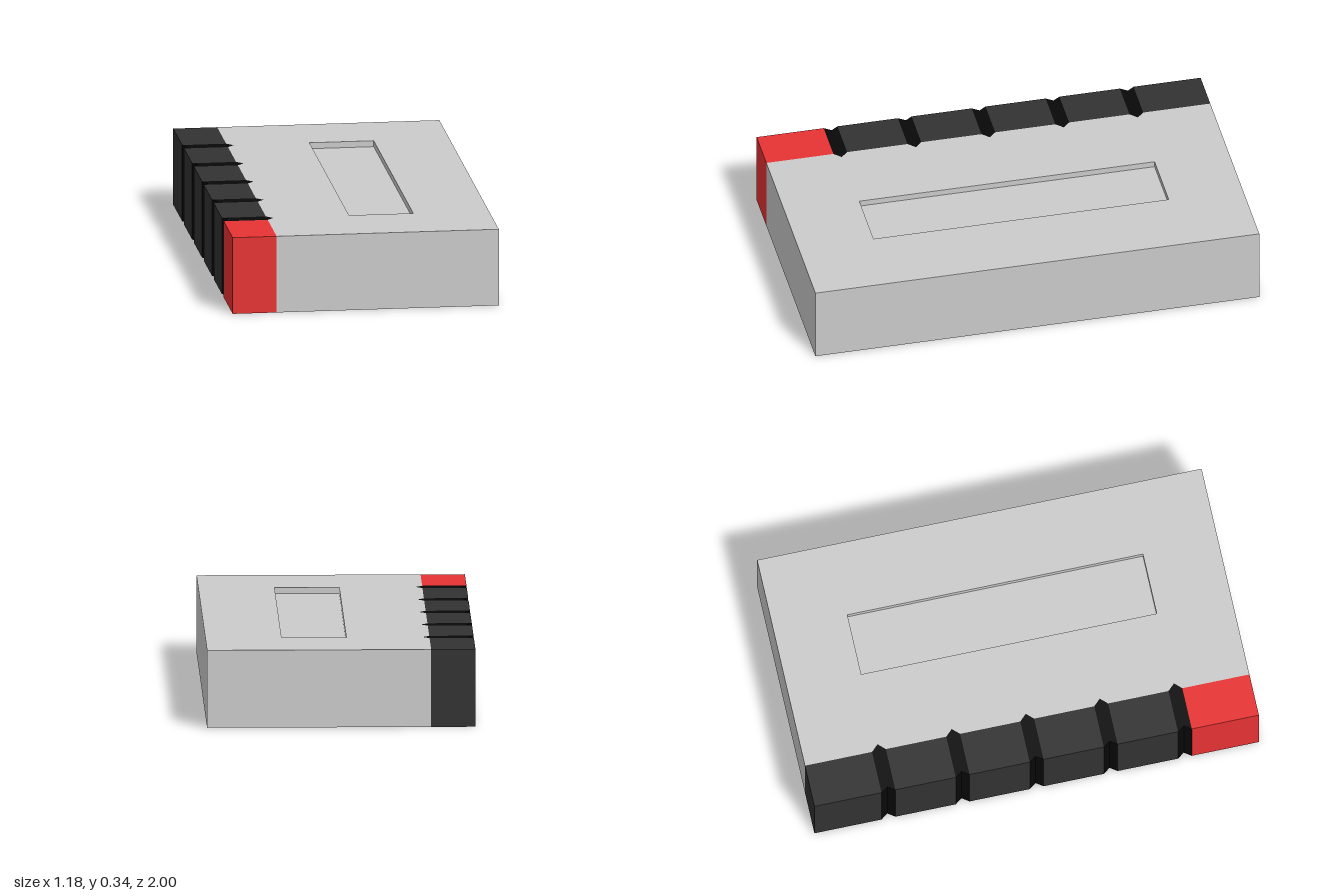
import * as THREE from 'three';

const H = 0.345, X0 = -0.59, X1 = 0.59, SEAM = -0.395;
const RECESS = 0.027, HALF = 0.031;
const GROOVES = [-0.667, -0.333, 0, 0.333, 0.667];

// Upright prism from a plan outline of [x, z] points
function prism(name, points, y0, y1, material, hole) {
  const toVec = ([x, z]) => new THREE.Vector2(x, -z);
  const shape = new THREE.Shape(points.map(toVec));
  if (hole) shape.holes.push(new THREE.Path(hole.map(toVec)));
  const geometry = new THREE.ExtrudeGeometry(shape, { depth: y1 - y0, bevelEnabled: false });
  geometry.rotateX(-Math.PI / 2).translate(0, y0, 0);
  const mesh = new THREE.Mesh(geometry, material);
  mesh.name = name;
  return mesh;
}

const rect = (x0, x1, z0, z1) => [[x0, z0], [x1, z0], [x1, z1], [x0, z1]];

export function createModel() {
  const group = new THREE.Group();
  group.name = 'cartridge';
  const paint = (color) => new THREE.MeshStandardMaterial({ color });
  const grey = paint(0xcccccc), red = paint(0xe73233);
  const dark = paint(0x323232), black = paint(0x080808);

  // Body outline with V notches along the seam
  const outline = [[X1, 1], [X1, -1], [SEAM, -1]];
  for (const z of GROOVES) {
    outline.push([SEAM, z - HALF], [SEAM + 0.03, z], [SEAM, z + HALF]);
  }
  outline.push([SEAM, 1]);

  // Solid base and a thin top layer holding the label recess
  group.add(prism('bodyBase', outline, 0, H - RECESS, grey));
  group.add(prism('bodyTop', outline, H - RECESS, H, grey, rect(-0.03, 0.255, -0.667, 0.663)));

  // Edge blocks, the front one red
  const stops = [-1, ...GROOVES, 1];
  for (let i = 0; i < stops.length - 1; i++) {
    const last = i === stops.length - 2;
    const z0 = stops[i] + (i ? HALF : 0), z1 = stops[i + 1] - (last ? 0 : HALF);
    group.add(prism(last ? 'redBlock' : 'edgeBlock', rect(X0, SEAM, z0, z1), 0, H, last ? red : dark));
  }

  // Chevron strips in the grooves between blocks
  for (const z of GROOVES) {
    group.add(prism('grooveStrip', [
      [X0, z - HALF], [SEAM, z - HALF], [SEAM + 0.03, z],
      [SEAM, z + HALF], [X0, z + HALF], [X0 + 0.022, z],
    ], 0, H, black));
  }
  return group;
}
